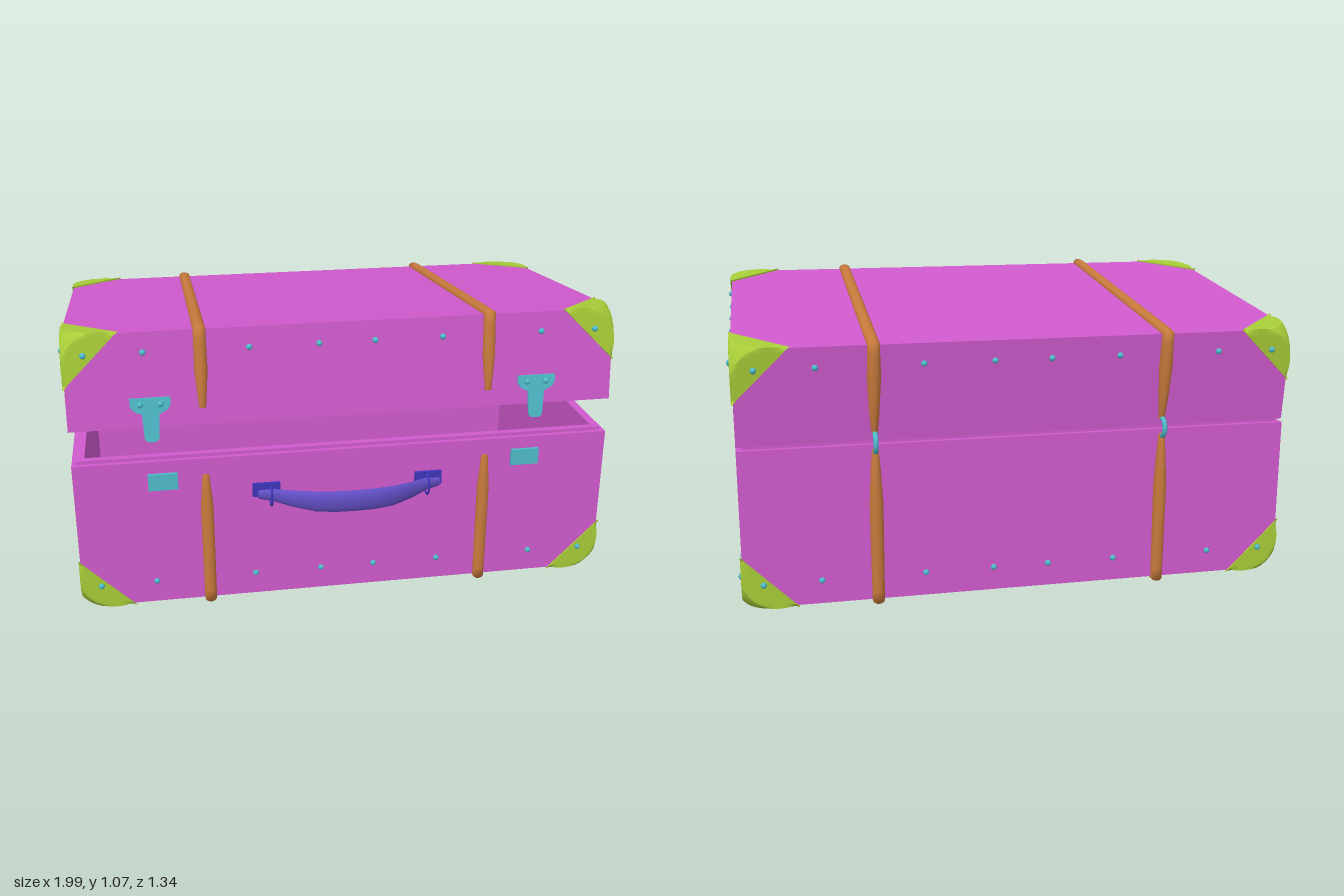
import * as THREE from 'three';
import { toCreasedNormals } from 'three/addons/utils/BufferGeometryUtils.js';

const mat = (color) => new THREE.MeshStandardMaterial({ color, side: THREE.DoubleSide });
const shellMat = mat(0xd05acd), strapMat = mat(0xc87a3c), cornerMat = mat(0xa8cc38);
const metalMat = mat(0x4fbccb), handleMat = mat(0x6350c8), mountMat = mat(0x3c34b8);
const W = 1.96, D = 1.13, WALL = 0.018;
const V = (x, y, z) => new THREE.Vector3(x, y, z);

function add(parent, name, geometry, material, x = 0, y = 0, z = 0) {
  const mesh = new THREE.Mesh(geometry, material);
  mesh.name = name;
  mesh.position.set(x, y, z);
  parent.add(mesh);
  return mesh;
}

function box(parent, name, material, w, h, d, x, y, z) {
  return add(parent, name, new THREE.BoxGeometry(w, h, d), material, x, y, z);
}

function indexed(positions, index) {
  const g = new THREE.BufferGeometry();
  g.setAttribute('position', new THREE.Float32BufferAttribute(positions, 3));
  g.setIndex(index);
  g.computeVertexNormals();
  return g;
}

// Elliptical loft: each section has a centre c and two half-axes a and b
function loft(sections, sides = 16) {
  const pos = [], idx = [];
  sections.forEach(({ c, a, b }, i) => {
    for (let j = 0; j < sides; j++) {
      const t = (j / sides) * Math.PI * 2;
      pos.push(...c.clone().addScaledVector(a, Math.cos(t)).addScaledVector(b, Math.sin(t)).toArray());
      if (i === sections.length - 1) continue;
      const p = i * sides + j, q = i * sides + (j + 1) % sides;
      idx.push(p, q, q + sides, p, q + sides, p + sides);
    }
  });
  return indexed(pos, idx);
}

// Wall panel with its corners cut away beneath the caps
function panel(w, h, cutTop) {
  const c = 0.15, s = new THREE.Shape();
  s.moveTo(-w / 2 + c, 0).lineTo(w / 2 - c, 0).lineTo(w / 2, c);
  if (cutTop) s.lineTo(w / 2, h - c).lineTo(w / 2 - c, h).lineTo(-w / 2 + c, h).lineTo(-w / 2, h - c);
  else s.lineTo(w / 2, h).lineTo(-w / 2, h);
  s.lineTo(-w / 2, c);
  return new THREE.ExtrudeGeometry(s, { depth: WALL, bevelEnabled: false });
}

// Three triangular plates meeting at a vertex that is rounded by a sphere
function cornerGeometry() {
  const size = 0.19, e = 0.006, n = 16, pos = [], idx = [];
  const centre = V(-0.12, -0.12, -0.12), R = 0.178;
  for (let k = 0; k < 3; k++) {
    const id = {};
    const put = (u, v, lift) => {
      const p = V(0, 0, 0);
      p.setComponent(k, lift);
      p.setComponent((k + 1) % 3, e - u * (size + e) / n);
      p.setComponent((k + 2) % 3, e - v * (size + e) / n);
      const off = p.clone().sub(centre);
      if (u + v < n && off.length() > R) p.copy(centre).add(off.setLength(R));
      pos.push(p.x, p.y, p.z);
      return pos.length / 3 - 1;
    };
    for (let u = 0; u <= n; u++) for (let v = 0; u + v <= n; v++) id[u + '_' + v] = put(u, v, e);
    const at = (u, v) => id[u + '_' + v];
    for (let u = 0; u < n; u++) for (let v = 0; u + v < n; v++) {
      idx.push(at(u, v), at(u + 1, v), at(u, v + 1));
      if (u + v < n - 1) idx.push(at(u + 1, v), at(u + 1, v + 1), at(u, v + 1));
    }
    // Thin edge along the diagonal
    const a = put(n, 0, -0.001), b = put(0, n, -0.001);
    idx.push(at(n, 0), a, b, at(n, 0), b, at(0, n));
  }
  return toCreasedNormals(indexed(pos, idx), 0.5);
}

// Leather strap down the front, under the bottom and up the back
function strapGeometry(frontEnd, backEnd) {
  const h = D / 2, t = 0.018;
  const path = [
    [h, frontEnd, 0, 0], [h, frontEnd - 0.002, 0.012, 0.010], [h, frontEnd - 0.05, 0.016, 0.013],
    [h, frontEnd - 0.13, 0.023, t], [h, 0.03, 0.022, t], [h + 0.002, -0.002, 0.022, t], [h - 0.03, 0, 0.022, t],
    [-h + 0.03, 0, 0.022, t], [-h - 0.002, -0.002, 0.022, t], [-h, 0.03, 0.022, t],
    [-h, backEnd - 0.2, 0.024, 0.026], [-h, backEnd - 0.07, 0.017, 0.018],
    [-h, backEnd - 0.002, 0.011, 0.012], [-h, backEnd, 0, 0],
  ];
  return loft(path.map(([z, y, w, thick], i) => {
    const p = path[Math.max(i - 1, 0)], q = path[Math.min(i + 1, path.length - 1)];
    const normal = V(0, q[0] - p[0], -(q[1] - p[1])).normalize();
    return { c: V(0, y, z), a: V(w, 0, 0), b: normal.multiplyScalar(thick) };
  }));
}

// Frame of four boards between two insets
function frame(g, name, in0, in1, top) {
  const t = in1 - in0, m = (in0 + in1) / 2, y0 = 0.03;
  for (const s of [-1, 1]) {
    box(g, name, shellMat, W - 2 * in0, top - y0, t, 0, (top + y0) / 2, s * (D / 2 - m));
    box(g, name, shellMat, t, top - y0, D - 2 * in1, s * (W / 2 - m), (top + y0) / 2, 0);
  }
}

const rivetGeo = new THREE.SphereGeometry(0.011, 12, 8);
const capGeo = cornerGeometry();

// Open tray, used upright for the base and upside down for the lid
function tray(name, h, { rivetY, sideRivets, strapFront, strapBack }) {
  const g = new THREE.Group();
  g.name = name;
  add(g, 'frontPanel', panel(W, h), shellMat, 0, 0, D / 2 - WALL);
  add(g, 'backPanel', panel(W, h), shellMat, 0, 0, -D / 2);
  for (const x of [W / 2 - WALL, -W / 2]) add(g, 'sidePanel', panel(D, h), shellMat, x).rotation.y = Math.PI / 2;
  add(g, 'bottomPanel', panel(W, D, true), shellMat, 0, WALL, -D / 2).rotation.x = Math.PI / 2;
  box(g, 'floorLining', shellMat, W - 0.1, 0.02, D - 0.1, 0, 0.035, 0);

  const strap = strapGeometry(strapFront, strapBack);
  for (const sx of [-1, 1]) {
    add(g, 'strap', strap, strapMat, sx * 0.515);
    for (const sz of [-1, 1]) {
      add(g, 'cornerCap', capGeo, cornerMat, sx * W / 2, 0, sz * D / 2).scale.set(sx, -1, sz);
      for (const x of [0.1, 0.345, 0.71, 0.91])
        add(g, 'rivet', rivetGeo, metalMat, sx * x, rivetY, sz * (D / 2 + (x > 0.8 ? 0.006 : 0)));
    }
    for (const z of sideRivets)
      add(g, 'rivet', rivetGeo, metalMat, sx * (W / 2 + (Math.abs(z) > 0.4 ? 0.006 : 0)), rivetY, z);
  }
  return g;
}

// T-shaped hasp plate that hangs from the lid
function haspGeometry() {
  const s = new THREE.Shape();
  s.moveTo(-0.07, 0.108).lineTo(0.07, 0.108).lineTo(0.07, 0.085).quadraticCurveTo(0.065, 0.06, 0.03, 0.05);
  s.lineTo(0.026, -0.035).quadraticCurveTo(0.025, -0.052, 0, -0.052).quadraticCurveTo(-0.025, -0.052, -0.026, -0.035);
  s.lineTo(-0.03, 0.05).quadraticCurveTo(-0.065, 0.06, -0.07, 0.085);
  return new THREE.ExtrudeGeometry(s, { depth: 0.008, bevelEnabled: false });
}

function makeHandle() {
  const g = new THREE.Group();
  g.name = 'handle';
  const half = [[0.335, 0.553, 0, 0], [0.332, 0.553, 0.017, 0.01], [0.28, 0.565, 0.025, 0.013],
    [0.22, 0.603, 0.033, 0.015], [0.14, 0.64, 0.041, 0.016], [0.07, 0.653, 0.043, 0.016]];
  const pts = [...half.map(([x, ...r]) => [-x, ...r]), [0, 0.656, 0.043, 0.016], ...half.slice().reverse()];
  add(g, 'grip', loft(pts.map(([x, z, tall, thick]) =>
    ({ c: V(x, 0.45, z), a: V(0, tall, 0.1 * tall), b: V(0, 0, thick) }))), handleMat);
  for (const s of [-1, 1]) {
    box(g, 'handleMount', mountMat, 0.1, 0.05, 0.016, s * 0.3, 0.45, 0.513);
    add(g, 'handleRing', new THREE.TorusGeometry(0.04, 0.004, 8, 24), mountMat, s * 0.287, 0.443, 0.545)
      .rotation.y = Math.PI / 2;
  }
  return g;
}

export function createModel() {
  const model = new THREE.Group();
  model.name = 'suitcase';

  // Base
  const base = tray('base', 0.565, {
    rivetY: 0.085, sideRivets: [0.263, 0.083, -0.087, -0.267, -0.472], strapFront: 0.505, strapBack: 0.55,
  });
  base.position.set(0, 0.02, -0.058);
  frame(base, 'baseLip', WALL, 0.045, 0.577);
  model.add(base);

  // Lid, hinged at the back and partly open
  const lid = new THREE.Group();
  lid.name = 'lid';
  lid.position.set(0, 0.597, -0.615);
  lid.rotation.x = -0.107;
  const lidTray = tray('lidShell', 0.34, {
    rivetY: 0.072, sideRivets: [0.472, 0.265, 0.085, -0.087, -0.267, -0.472], strapFront: 0.28, strapBack: 0.315,
  });
  lidTray.position.set(0, 0.34, D / 2);
  lidTray.rotation.z = Math.PI;
  frame(lidTray, 'lidLining', WALL, 0.045, 0.338);
  frame(lidTray, 'lidLip', 0.045, 0.062, 0.35);
  lid.add(lidTray);
  model.add(lid);

  // Hasps, latches and hinges
  const hasp = haspGeometry();
  for (const s of [-1, 1]) {
    add(lid, 'hasp', hasp, metalMat, s * 0.695, 0, D);
    for (const dx of [-0.035, 0.035]) add(lid, 'haspRivet', rivetGeo, metalMat, s * 0.695 + dx, 0.085, D + 0.008);
    box(model, 'latch', metalMat, 0.105, 0.062, 0.014, s * 0.667, 0.508, 0.512);
    add(model, 'hingeRing', new THREE.TorusGeometry(0.033, 0.009, 10, 28), metalMat, s * 0.515, 0.592, -0.622)
      .rotation.y = Math.PI / 2;
  }

  model.add(makeHandle());
  return model;
}
